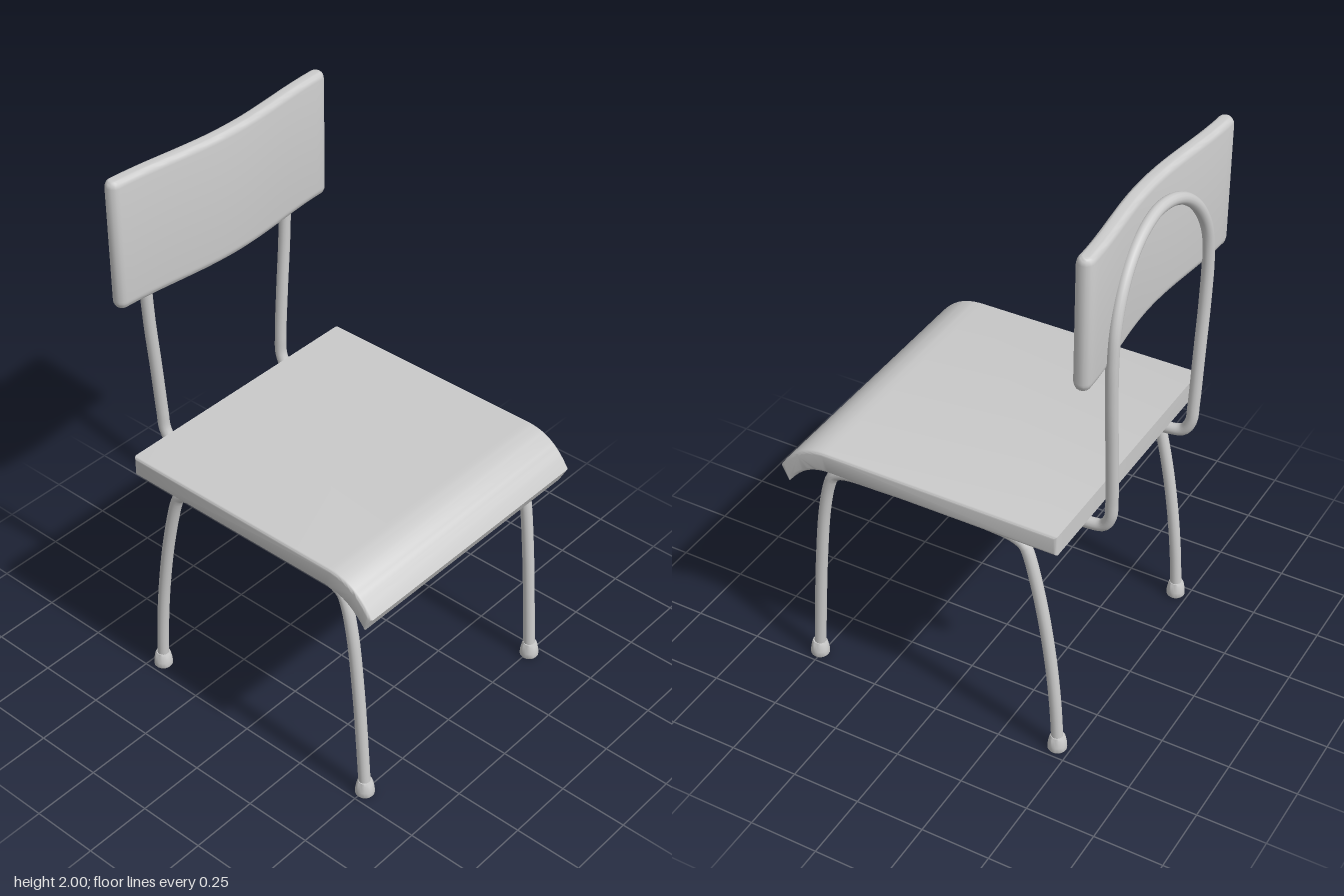
import * as THREE from 'three';
import { toCreasedNormals } from 'three/addons/utils/BufferGeometryUtils.js';

const material = new THREE.MeshStandardMaterial({ color: 0xcccccc });
const RADIUS = 0.021;

function add(parent, name, geometry) {
  const mesh = new THREE.Mesh(geometry, material);
  mesh.name = name;
  parent.add(mesh);
  return mesh;
}

function tube(points, closed, segments) {
  const curve = new THREE.CatmullRomCurve3(points.map(p => new THREE.Vector3(...p)), closed, 'centripetal');
  return new THREE.TubeGeometry(curve, segments, RADIUS, 14, closed);
}

// Flat seat whose front edge curls downwards, drawn as a side profile (z, y)
function seatGeometry() {
  const s = new THREE.Shape();
  s.moveTo(-0.47, 0.895);
  s.lineTo(0.385, 0.895);
  s.bezierCurveTo(0.46, 0.89, 0.5, 0.86, 0.546, 0.8);
  s.lineTo(0.576, 0.858);
  s.bezierCurveTo(0.53, 0.93, 0.48, 0.972, 0.39, 0.972);
  s.lineTo(-0.47, 0.972);
  s.closePath();
  const bevel = 0.012;
  const g = new THREE.ExtrudeGeometry(s, {
    depth: 1.03 - 2 * bevel, curveSegments: 16, steps: 1,
    bevelSize: bevel, bevelThickness: bevel, bevelOffset: -bevel, bevelSegments: 4,
  });
  g.translate(0, 0, -0.515 + bevel);
  g.rotateY(-Math.PI / 2);
  return toCreasedNormals(g, 0.6);
}

// Backrest: a plan outline curved across its width, extruded upwards with soft edges
function backrestGeometry() {
  const half = 0.465, core = 0.011, bevel = 0.018, rise = 0.03, n = 32;
  const z = x => -0.502 + 0.019 * Math.cos(Math.PI * x / 0.5);
  const pts = [];
  for (let i = 0; i <= n; i++) {
    const x = -half + 2 * half * i / n;
    pts.push(new THREE.Vector2(x, -z(x) - core));
  }
  for (let i = 1; i < 6; i++) {
    const a = -Math.PI / 2 + Math.PI * i / 6;
    pts.push(new THREE.Vector2(half + core * Math.cos(a), -z(half) + core * Math.sin(a)));
  }
  for (let i = n; i >= 0; i--) {
    const x = -half + 2 * half * i / n;
    pts.push(new THREE.Vector2(x, -z(x) + core));
  }
  for (let i = 1; i < 6; i++) {
    const a = Math.PI / 2 + Math.PI * i / 6;
    pts.push(new THREE.Vector2(-half + core * Math.cos(a), -z(half) + core * Math.sin(a)));
  }
  const g = new THREE.ExtrudeGeometry(new THREE.Shape(pts), {
    depth: 0.467 - 2 * rise, bevelSize: bevel, bevelThickness: rise, bevelSegments: 6,
  });
  g.rotateX(-Math.PI / 2);
  g.translate(-0.005, 1.533 + rise, 0);
  return toCreasedNormals(g, 0.8);
}

// One closed loop: under the seat, up the back and over in an arch
function backLoopGeometry() {
  const side = [
    [0.26, 0.872, 0.14], [0.285, 0.872, 0.138], [0.29, 0.872, 0.11], [0.29, 0.872, -0.2],
    [0.29, 0.875, -0.46], [0.292, 0.888, -0.52], [0.294, 0.93, -0.545], [0.297, 1.0, -0.55],
    [0.312, 1.2, -0.552], [0.329, 1.4, -0.553], [0.334, 1.55, -0.553],
  ];
  for (let i = 1; i < 6; i++) {
    const a = (Math.PI / 2) * i / 6;
    side.push([0.334 * Math.cos(a), 1.57 + 0.34 * Math.sin(a), -0.553 + 0.027 * Math.sin(a) ** 2]);
  }
  const mirrored = side.map(([x, y, z]) => [-x, y, z]).reverse();
  return tube([...side, [0, 1.91, -0.525], ...mirrored], true, 300);
}

export function createModel() {
  const chair = new THREE.Group();
  chair.name = 'chair';

  add(chair, 'seat', seatGeometry());
  add(chair, 'backrest', backrestGeometry());
  add(chair, 'backLoop', backLoopGeometry());

  // Side frames: front leg, rail and back leg bent from one tube
  const path = [
    [0.505, 0.03], [0.492, 0.22], [0.474, 0.45], [0.448, 0.68], [0.422, 0.8], [0.402, 0.842],
    [0.36, 0.862], [0.2, 0.871], [0, 0.875], [-0.2, 0.872], [-0.285, 0.862], [-0.322, 0.842],
    [-0.338, 0.81], [-0.385, 0.62], [-0.422, 0.4], [-0.444, 0.2], [-0.455, 0.03],
  ];
  const footProfile = [[0, 0], [0.03, 0], [0.034, 0.006], [0.033, 0.025], [0.028, 0.052], [0.024, 0.06], [0, 0.061]]
    .map(p => new THREE.Vector2(...p));
  const frame = tube(path.map(([z, y]) => [0, y, z]), false, 120);
  const foot = toCreasedNormals(new THREE.LatheGeometry(footProfile, 20), 0.7);

  for (const [label, sign] of [['left', 1], ['right', -1]]) {
    const group = new THREE.Group();
    group.name = label + 'SideFrame';
    group.position.x = 0.455 * sign;
    add(group, 'legTube', frame);
    add(group, 'frontFoot', foot).position.z = 0.506;
    add(group, 'backFoot', foot).position.z = -0.455;
    chair.add(group);
  }
  return chair;
}
